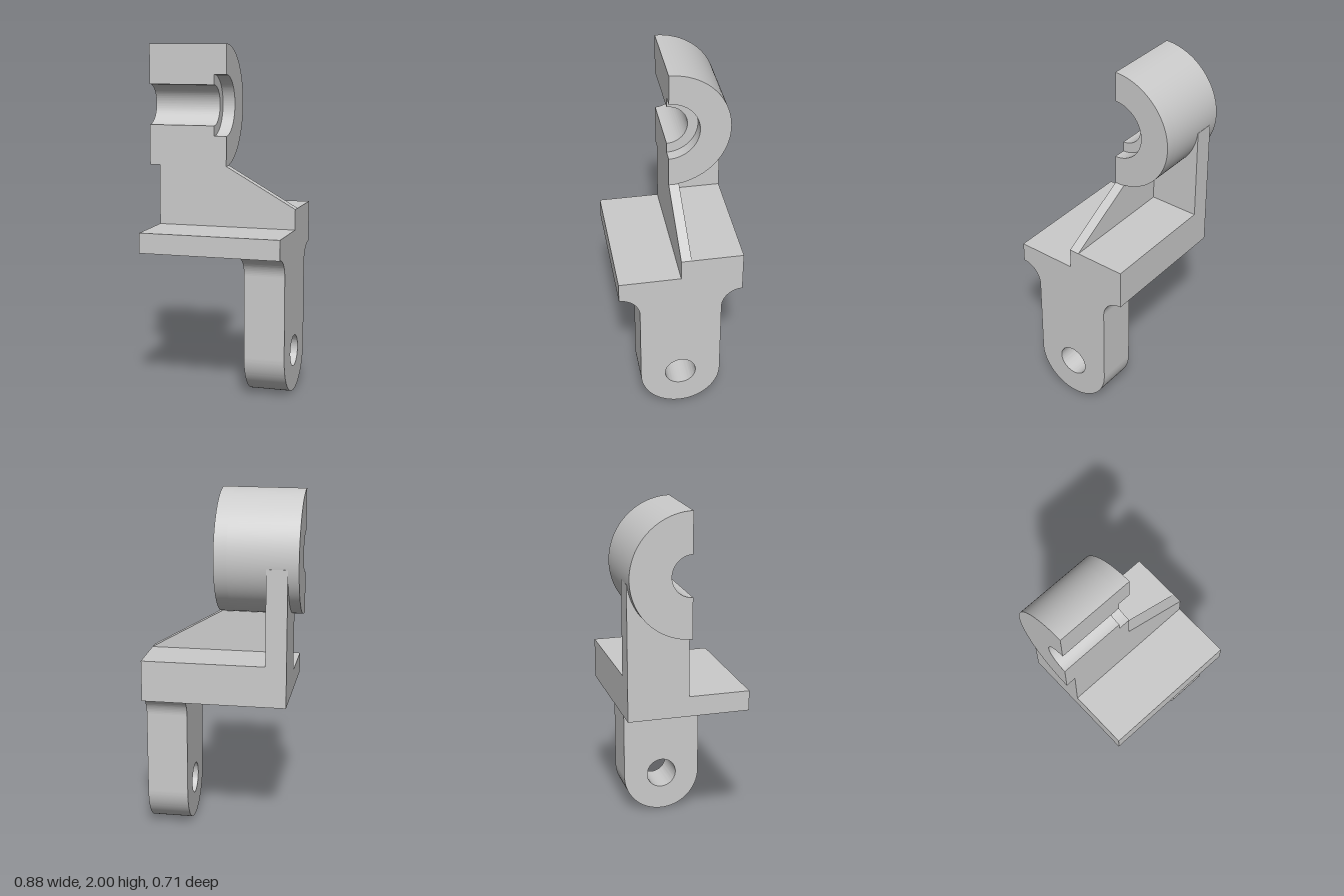
import * as THREE from 'three';
import { toCreasedNormals } from 'three/addons/utils/BufferGeometryUtils.js';

const material = new THREE.MeshStandardMaterial({ color: 0xcccccc });
const R = 0.353, AXIS_Y = 1.647; // bearing half-ring
const BASE_Y = 0.826, STEP_Y = 0.943, TOP_Y = 1.062;
const HALF = Math.PI / 2;

function addMesh(group, name, geometry) {
  const mesh = new THREE.Mesh(toCreasedNormals(geometry, 0.5), material);
  mesh.name = name;
  group.add(mesh);
}

// Side profile drawn as (depth towards the back, height), extruded from x0 to x1
function sideExtrude(shape, x0, x1) {
  return new THREE.ExtrudeGeometry(shape, { depth: x1 - x0, bevelEnabled: false, curveSegments: 48 })
    .rotateY(HALF).translate(x0, 0, 0);
}

function polygon(points) {
  return new THREE.Shape(points.map(([x, y]) => new THREE.Vector2(x, y)));
}

// Half ring opening to the front, flat cut at z = 0
function halfRing(inner) {
  const s = new THREE.Shape();
  s.moveTo(0, AXIS_Y - R);
  s.absarc(0, AXIS_Y, R, -HALF, HALF, false);
  s.lineTo(0, AXIS_Y + inner);
  s.absarc(0, AXIS_Y, inner, HALF, -HALF, true);
  s.closePath();
  return s;
}

export function createModel() {
  const group = new THREE.Group();
  group.name = 'bearingBracket';

  // Upper half bearing with a wider counterbore at its inner end
  addMesh(group, 'bearingHalf', sideExtrude(halfRing(0.118), -0.44, -0.045));
  addMesh(group, 'counterboreHalf', sideExtrude(halfRing(0.177), -0.045, 0.028));

  // Stepped base: thin ledge in front, thick block behind
  addMesh(group, 'base', sideExtrude(polygon([
    [-R, BASE_Y], [R, BASE_Y], [R, TOP_Y], [0, TOP_Y], [0, STEP_Y], [-R, STEP_Y],
  ]), -0.38, 0.44));

  // Side wall rising to meet the bearing's curve
  const wall = new THREE.Shape();
  wall.moveTo(0, TOP_Y);
  wall.lineTo(R, TOP_Y);
  wall.lineTo(R, 1.61);
  wall.absarc(0, AXIS_Y, R, -0.105, -HALF, true);
  wall.closePath();
  addMesh(group, 'sideWall', sideExtrude(wall, -0.38, -0.262));

  // Front web under the bearing, sloping down to the far end
  const web = polygon([[-0.38, TOP_Y], [0.44, TOP_Y], [0.028, 1.296], [-0.38, 1.296]]);
  addMesh(group, 'web', new THREE.ExtrudeGeometry(web, { depth: 0.059, bevelEnabled: false })
    .translate(0, 0, -0.059));

  // Hanging lug with filleted shoulders, round end and pin hole
  const w = 0.235, f = R - w, cy = 0.235;
  const lug = new THREE.Shape();
  lug.moveTo(-R, BASE_Y);
  lug.absarc(-R, BASE_Y - f, f, HALF, 0, true);
  lug.lineTo(-w, cy);
  lug.absarc(0, cy, w, Math.PI, 2 * Math.PI, false);
  lug.lineTo(w, BASE_Y - f);
  lug.absarc(R, BASE_Y - f, f, Math.PI, HALF, true);
  lug.closePath();
  const hole = new THREE.Path();
  hole.absarc(0, cy, 0.09, 0, 2 * Math.PI, true);
  lug.holes.push(hole);
  addMesh(group, 'lug', sideExtrude(lug, 0.204, 0.44));

  return group;
}
